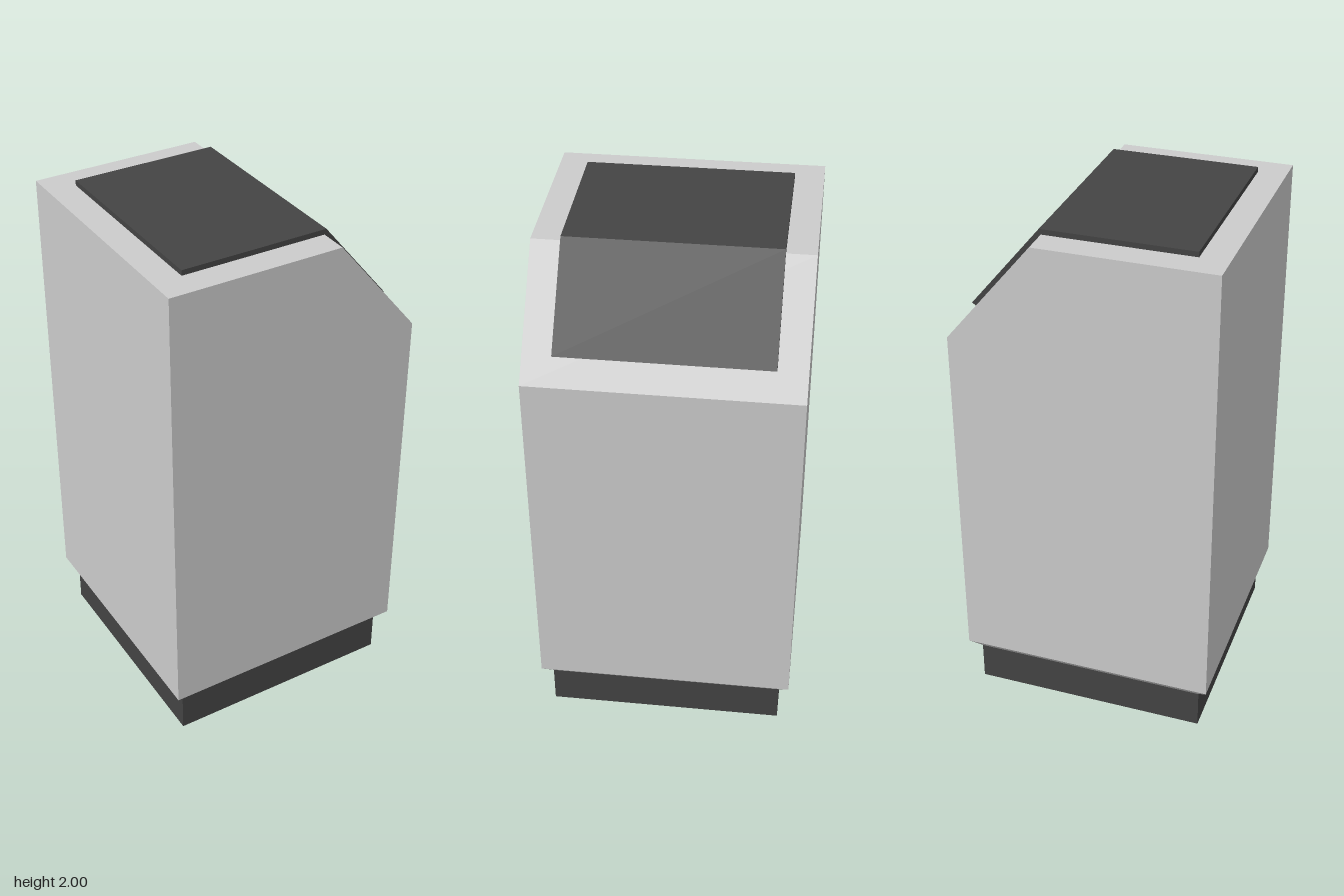
import * as THREE from 'three';

export function createModel() {
  const model = new THREE.Group();
  const lightGrey = new THREE.MeshStandardMaterial({ color: 0xcccccc });
  lightGrey.name = 'lightGrey';
  const darkGrey = new THREE.MeshStandardMaterial({ color: 0x444444 });
  darkGrey.name = 'darkGrey';

  function addPart(name, geometry, material) {
    const mesh = new THREE.Mesh(geometry, material);
    mesh.name = name;
    model.add(mesh);
  }

  // Extrudes a side profile (x, y) along z, centred on z = 0
  function extrudeProfile(points, depth) {
    const shape = new THREE.Shape(points.map(([x, y]) => new THREE.Vector2(x, y)));
    return new THREE.ExtrudeGeometry(shape, { depth, bevelEnabled: false }).translate(0, 0, -depth / 2);
  }

  // Recessed plinth
  addPart('base', new THREE.BoxGeometry(0.91, 0.155, 0.91).translate(0, 0.0775, 0), darkGrey);

  // Chamfer from the plinth out to the body
  const chamfer = new THREE.CylinderGeometry(0.495 * Math.SQRT2, 0.455 * Math.SQRT2, 0.045, 4, 1, true)
    .rotateY(Math.PI / 4)
    .translate(0, 0.1775, 0)
    .toNonIndexed();
  chamfer.computeVertexNormals();
  addPart('lowerChamfer', chamfer, lightGrey);

  // Tall body with one sloping top edge
  addPart('body', extrudeProfile([
    [-0.495, 0.2], [0.495, 0.2], [0.495, 1.585], [0.17, 1.98], [-0.495, 1.98],
  ], 0.99), lightGrey);

  // Folded lid plate lying on the top and the slope
  addPart('lid', extrudeProfile([
    [-0.387, 1.975], [0.168, 1.975], [0.424, 1.668], [0.441, 1.679], [0.177, 2], [-0.387, 2],
  ], 0.774), darkGrey);

  return model;
}
